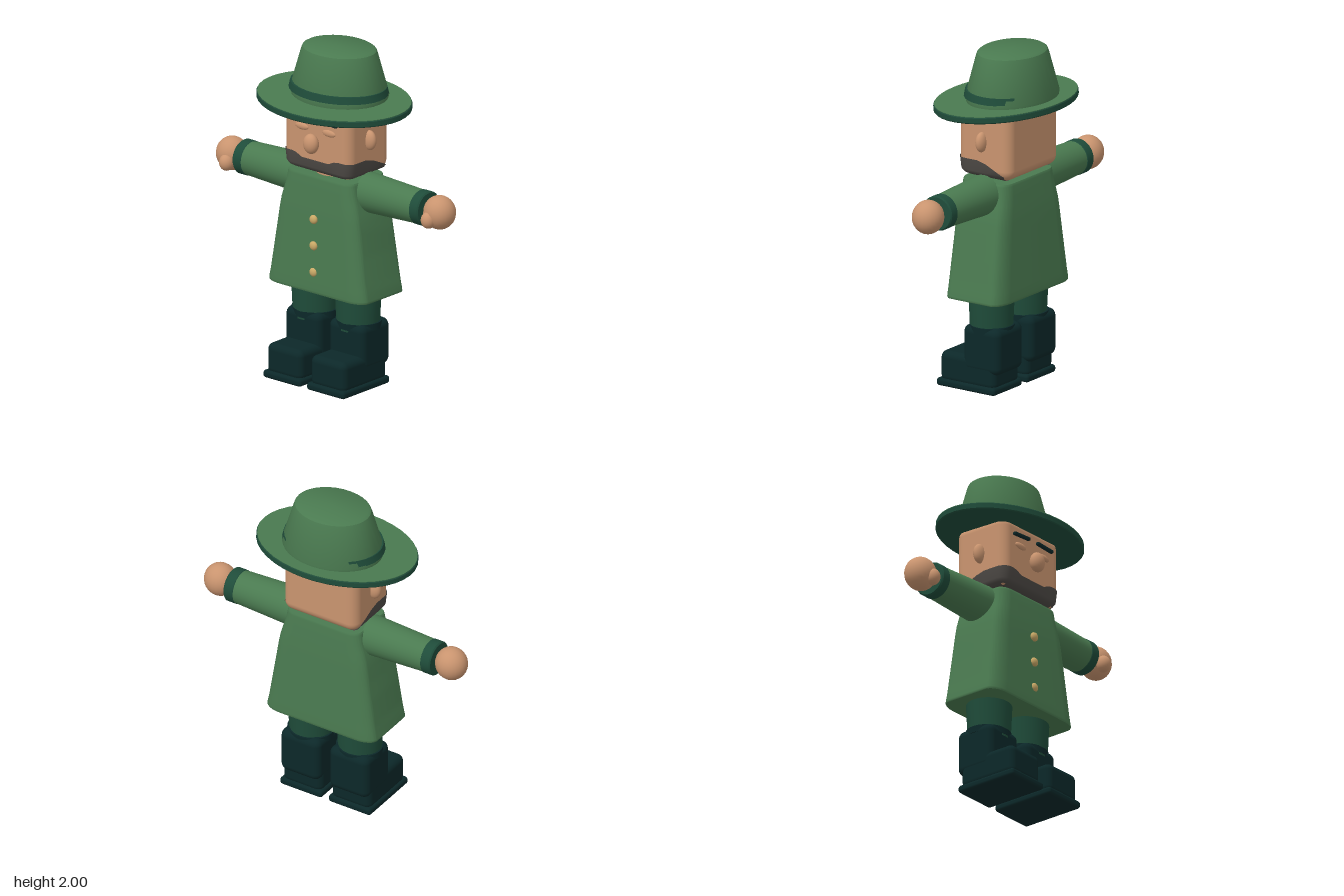
import * as THREE from 'three';
import { toCreasedNormals } from 'three/addons/utils/BufferGeometryUtils.js';
import { RoundedBoxGeometry } from 'three/addons/geometries/RoundedBoxGeometry.js';

const mat = (name, color, side = THREE.FrontSide) => {
  const m = new THREE.MeshStandardMaterial({ color, side });
  m.name = name;
  return m;
};

// piecewise linear lookup in a list of [input, output] pairs
function lerpTable(table, v) {
  if (v <= table[0][0]) return table[0][1];
  for (let i = 1; i < table.length; i++) {
    const [a, fa] = table[i - 1], [b, fb] = table[i];
    if (v <= b) return fa + ((fb - fa) * (v - a)) / (b - a);
  }
  return table[table.length - 1][1];
}

function roundedRect(hx, hy, r) {
  const s = new THREE.Shape();
  s.absarc(hx - r, hy - r, r, 0, Math.PI / 2);
  s.absarc(-hx + r, hy - r, r, Math.PI / 2, Math.PI);
  s.absarc(-hx + r, -hy + r, r, Math.PI, Math.PI * 1.5);
  s.absarc(hx - r, -hy + r, r, Math.PI * 1.5, Math.PI * 2);
  s.closePath();
  return s;
}

// flared coat: a rounded slab tapered towards the shoulders
function coatGeometry() {
  const y0 = 0.56, h = 0.695, b = 0.015;
  const halfX = [[0.56, 0.375], [0.62, 0.362], [1.06, 0.295], [1.2, 0.255], [1.255, 0.248]];
  const halfZ = [[0.56, 0.203], [1.06, 0.182], [1.255, 0.165]];
  const g = new THREE.ExtrudeGeometry(roundedRect(1 - b, 1 - b, 0.3), {
    depth: h - 2 * b, steps: 12, curveSegments: 8,
    bevelEnabled: true, bevelSize: b, bevelThickness: b, bevelSegments: 2,
  });
  g.rotateX(-Math.PI / 2).translate(0, y0 + b, 0);
  const p = g.attributes.position;
  for (let i = 0; i < p.count; i++) {
    const y = p.getY(i);
    p.setX(i, p.getX(i) * lerpTable(halfX, y));
    p.setZ(i, p.getZ(i) * lerpTable(halfZ, y) - 0.012);
  }
  return toCreasedNormals(g, 0.7);
}

// beard: a thin strip wrapped round the jaw with an uneven top edge
function beardGeometry() {
  const hx = 0.257, front = 0.17, back = -0.16, r = 0.06, path = [];
  const sideRun = [-0.16, -0.1, -0.04, 0.02, 0.08];
  sideRun.forEach((z) => path.push([hx, z]));
  for (let i = 0; i <= 6; i++) {
    const a = (i / 6) * Math.PI / 2;
    path.push([hx - r + r * Math.cos(a), front - r + r * Math.sin(a)]);
  }
  [0.17, 0.14, 0.1, 0.05].forEach((x) => path.push([x, front]));
  const half = path.slice();
  path.push([0, front]);
  half.reverse().forEach(([x, z]) => path.push([-x, z]));
  const frontTop = [[0, 1.36], [0.1, 1.36], [0.17, 1.392], [0.2, 1.385], [0.257, 1.38]];
  const sideTop = [[back, 1.31], [-0.04, 1.365], [0.02, 1.385]];
  const rows = 5, pos = [], idx = [];
  path.forEach(([x, z]) => {
    const top = Math.min(lerpTable(frontTop, Math.abs(x)), lerpTable(sideTop, z));
    const levels = [[1.273, 0.065], [1.277, 0.04], [1.29, 0.018], [1.31, 0.006], [top, 0]];
    levels.forEach(([y, inset]) => pos.push(x * (1 - inset / hx), y, z > 0 ? z - inset * (z / front) : z));
  });
  for (let i = 0; i < path.length - 1; i++) {
    for (let j = 0; j < rows - 1; j++) {
      const a = i * rows + j, c = a + rows;
      idx.push(a, a + 1, c, c, a + 1, c + 1);
    }
  }
  const g = new THREE.BufferGeometry();
  g.setAttribute('position', new THREE.Float32BufferAttribute(pos, 3));
  g.setIndex(idx);
  g.computeVertexNormals();
  return g;
}

export function createModel() {
  const root = new THREE.Group();
  root.name = 'figure';
  const green = mat('coat green', 0x4a7a50);
  const dark = mat('dark green', 0x1f4c3a);
  const boot = mat('boot black green', 0x0c2829);
  const skin = mat('skin', 0xc9946f);
  const beardMat = mat('beard grey', 0x4e4a46, THREE.DoubleSide);
  const gold = mat('button gold', 0xc9a866);

  const add = (name, geo, material, x = 0, y = 0, z = 0, parent = root) => {
    const m = new THREE.Mesh(geo, material);
    m.name = name;
    m.position.set(x, y, z);
    parent.add(m);
    return m;
  };
  const ball = (name, material, x, y, z, rx, ry, rz) => {
    const m = add(name, new THREE.SphereGeometry(1, 24, 16), material, x, y, z);
    m.scale.set(rx, ry, rz);
    return m;
  };
  const box = (name, material, x, y, z, w, h, d, r) =>
    add(name, new RoundedBoxGeometry(w, h, d, 4, r), material, x, y, z);
  const lathe = (points, segments) => toCreasedNormals(
    new THREE.LatheGeometry(points.map(([r, y]) => new THREE.Vector2(r, y)), segments), 0.6);

  // coat and buttons
  add('coat', coatGeometry(), green);
  for (const y of [1.005, 0.845, 0.685]) ball('button', gold, 0, y, 0.182, 0.027, 0.027, 0.018);

  // neck, head and face
  add('neck', new THREE.CylinderGeometry(0.11, 0.11, 0.12, 24), skin, 0, 1.25, -0.005);
  box('head', skin, 0, 1.49, -0.018, 0.505, 0.43, 0.366, 0.06);
  add('beard', beardGeometry(), beardMat);
  ball('nose', skin, 0, 1.47, 0.204, 0.05, 0.06, 0.04);

  for (const s of [1, -1]) {
    ball('ear', skin, s * 0.258, 1.495, -0.012, 0.045, 0.06, 0.031);
    ball('eyelid', skin, s * 0.103, 1.545, 0.163, 0.05, 0.021, 0.014);
    box('eyebrow', boot, s * 0.103, 1.607, 0.174, 0.138, 0.02, 0.022, 0.006).rotation.z = -s * 0.06;

    // arm, cuff and hand
    const arm = add('sleeve', new THREE.CylinderGeometry(0.1, 0.117, 0.4, 32), green, s * 0.44, 1.178, -0.016);
    const cuff = add('cuff', lathe([[0, -0.035], [0.096, -0.035], [0.103, -0.027],
      [0.103, 0.027], [0.096, 0.035], [0, 0.035]], 32), dark, s * 0.67, 1.178, -0.016);
    arm.rotation.z = cuff.rotation.z = -s * Math.PI / 2;
    ball('hand', skin, s * 0.788, 1.178, -0.014, 0.097, 0.1, 0.092);
    ball('thumb', skin, s * 0.767, 1.145, 0.06, 0.044, 0.05, 0.045);

    // leg and boot
    const x = s * 0.166;
    add('trouserLeg', new THREE.CylinderGeometry(0.14, 0.127, 0.27, 32), dark, x, 0.475, -0.017).scale.z = 0.95;
    box('bootShaft', boot, x, 0.255, -0.027, 0.268, 0.28, 0.256, 0.045);
    add('bootRim', new THREE.CylinderGeometry(0.139, 0.139, 0.04, 32), boot, x, 0.372, -0.022).scale.z = 0.92;
    box('bootFoot', boot, x, 0.118, 0.067, 0.264, 0.185, 0.385, 0.04);
    box('bootSole', boot, x, 0.024, 0.07, 0.286, 0.046, 0.41, 0.018);
  }

  // hat brim: dark rim and underside with a pale upper face, dipping to the front
  const brim = new THREE.Group();
  brim.name = 'hatBrim';
  brim.position.set(0, 1.688, 0);
  brim.rotation.x = 0.036;
  brim.scale.z = 0.735;
  root.add(brim);
  add('brimUnderside', lathe([[0, -0.02], [0.494, -0.02], [0.5, -0.014], [0.5, 0.014],
    [0.496, 0.019], [0, 0.019]], 40), dark, 0, 0, 0, brim);
  add('brimTop', new THREE.CylinderGeometry(0.495, 0.495, 0.006, 40), green, 0, 0.019, 0, brim);

  // hat crown and band
  const crown = add('hatCrown', lathe([[0.3, 1.69], [0.311, 1.735], [0.24, 1.972], [0.232, 1.99],
    [0.215, 2], [0, 2]], 32), green, 0, 0, -0.045);
  crown.scale.z = 0.8;
  const band = add('hatBand', lathe([[0.29, 1.738], [0.314, 1.738], [0.304, 1.78], [0.28, 1.78]], 32),
    dark, 0, 0, -0.038);
  band.scale.z = 0.8;

  return root;
}
